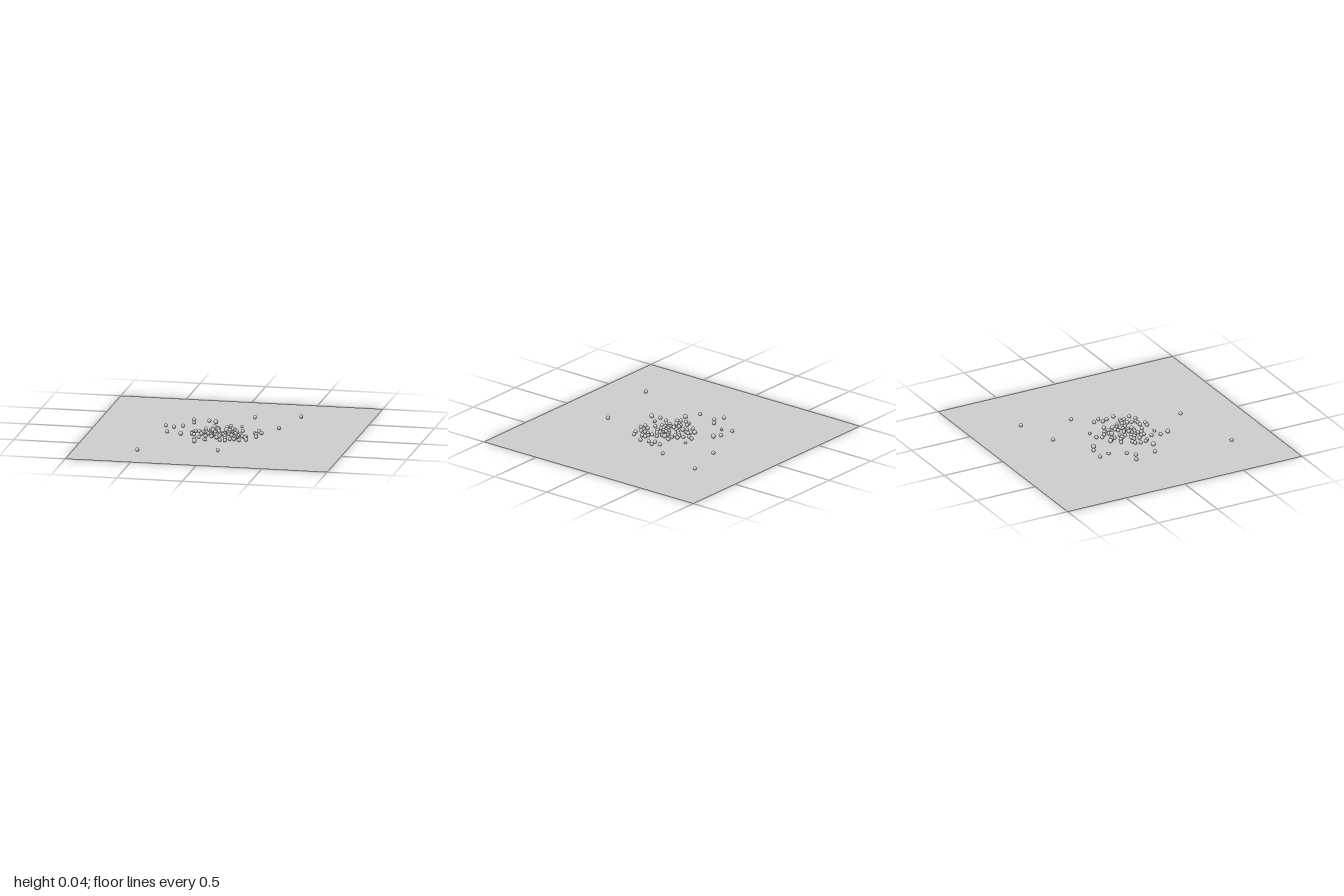
import * as THREE from 'three';

// ball centres as x, z pairs
const scattered = [
  .465, -.59, .13, -.5, -.3, -.335, -.18, -.325, .375, -.21, .01, -.195, -.34, -.13,
  -.47, -.12, -.4, -.085, -.42, .065, -.175, .25, .018, .24, .06, .25, .16, .22,
  .21, .195, .07, .555, -.52, .665, .265, .09, .28, -.03, .23, -.02, .25, -.083, .25, .023,
];
const cluster = [
  -.08, -.115, -.06, -.105, -.01, -.157, .02, -.125, .02, -.085, .06, -.1,
  -.065, -.083, -.155, -.075, -.11, -.055, -.043, -.025, .033, -.057,
  .075, -.057, .128, -.067, .035, .005, .063, -.008, .092, .02, -.065, .008,
  -.187, .003, -.215, .012, -.23, .05, -.225, .095, -.205, .115, -.15, .037, -.122, .03,
  -.155, .082, -.105, .065, -.085, .05, -.078, .085, -.05, .075, -.015, .065, -.005, .03,
  .015, .045, .01, .073, -.033, .105, -.01, .115, .03, .115, .047, .05, .075, .083,
  .07, .04, .128, .043, .128, .088, .16, .1, .19, .105, .187, .137, .123, .13,
  .118, .163, .118, .2, .087, .2, .048, .195, -.02, .175, -.065, .147, -.065, .115,
  -.118, .115, -.112, .14, -.155, .183,
];
const large = [
  -.125, -.295, -.305, .115, -.16, .32, -.1, -.137, -.09, -.033, .005, -.067, .097, -.008,
];

export function createModel() {
  const model = new THREE.Group();
  const grey = new THREE.MeshStandardMaterial({ color: 0xcccccc, side: THREE.DoubleSide });
  grey.name = 'light grey';

  // thin square ground sheet
  const sheet = new THREE.Mesh(new THREE.PlaneGeometry(2, 2).rotateX(-Math.PI / 2), grey);
  sheet.name = 'groundSheet';
  model.add(sheet);

  // balls resting on the sheet
  const sphere = new THREE.SphereGeometry(1, 20, 14);
  const addBalls = (name, centres, radius) => {
    const group = new THREE.Group();
    group.name = name;
    for (let i = 0; i < centres.length; i += 2) {
      const ball = new THREE.Mesh(sphere, grey);
      ball.name = 'ball';
      ball.scale.setScalar(radius);
      ball.position.set(centres[i], radius + 0.001, centres[i + 1]);
      group.add(ball);
    }
    model.add(group);
  };
  addBalls('scatteredBalls', scattered, 0.0145);
  addBalls('clusterBalls', cluster, 0.0145);
  addBalls('largeBalls', large, 0.0175);

  // a few misshapen pebbles: x, z, half length, half width, turn
  for (const [x, z, long, wide, turn] of [
    [-.28, -.25, .017, .009, .9], [-.095, .24, .018, .01, 0], [.095, -.205, .012, .011, 0],
  ]) {
    const pebble = new THREE.Mesh(sphere, grey);
    pebble.name = 'pebble';
    pebble.scale.set(long, 0.012, wide);
    pebble.rotation.y = turn;
    pebble.position.set(x, 0.013, z);
    model.add(pebble);
  }
  return model;
}
